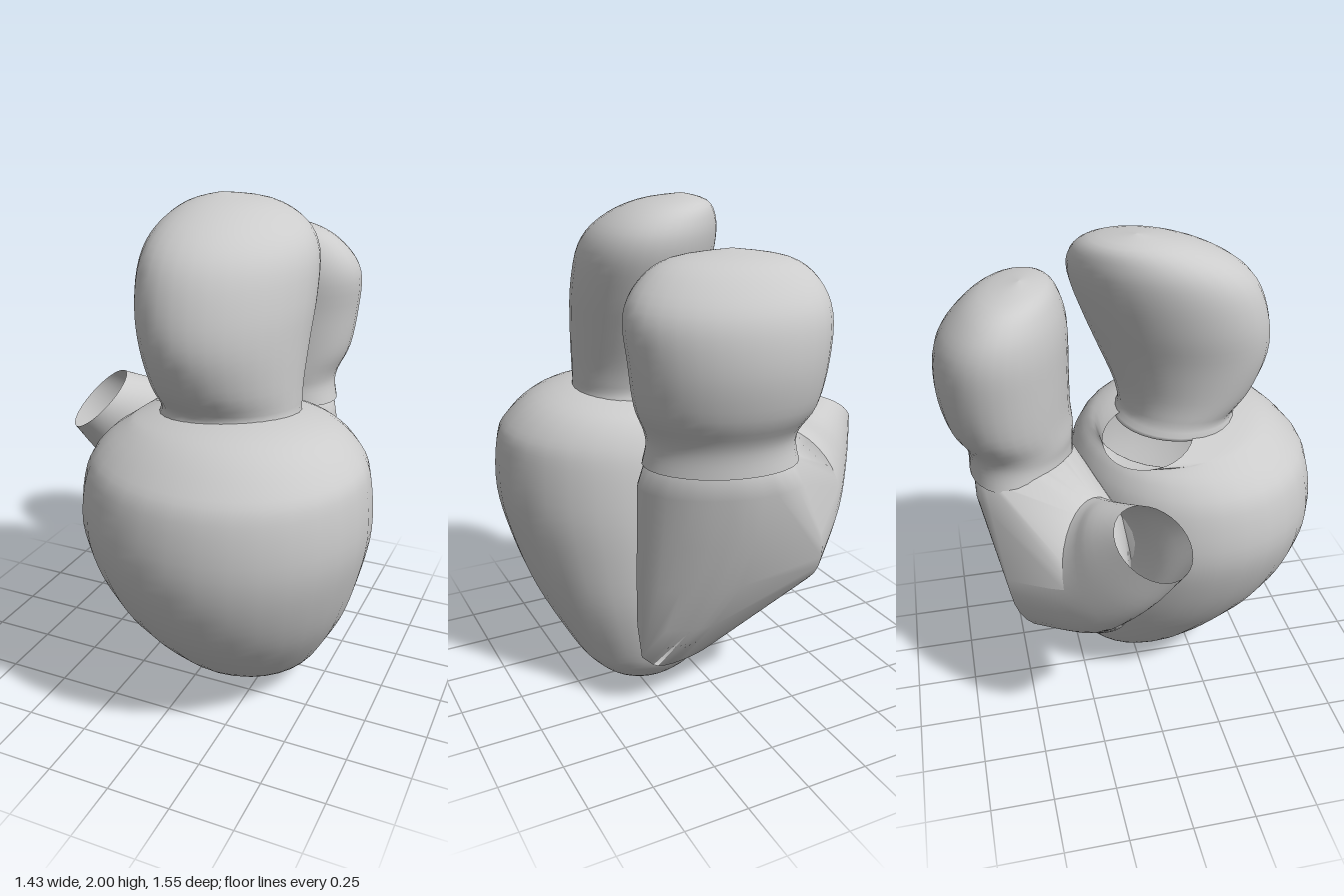
import * as THREE from 'three';
import { mergeVertices } from 'three/addons/utils/BufferGeometryUtils.js';
import { ConvexGeometry } from 'three/addons/geometries/ConvexGeometry.js';

const SEGMENTS = 32;
const STEPS = 4;

// Ring given by its extents in x and z at one height, with an optional skew of z along x
const box = (y, x0, x1, z0, z1, skew = 0) => {
  const rz = (z1 - z0) / 2;
  return [(x0 + x1) / 2, y, (z0 + z1) / 2, (x1 - x0) / 2, 0, -rz * skew, 0, 0, rz * Math.sqrt(1 - skew * skew)];
};

// Level ellipse with half axes a and b, turned about y
const oval = (y, x, z, a, b, turn = 0.32) => {
  const c = Math.cos(turn), s = Math.sin(turn);
  return [x, y, z, a * c, 0, a * s, -b * s, 0, b * c];
};

// Points round a ring of centre (3), half axis u (3) and half axis v (3)
const ringPoints = (r) => Array.from({ length: SEGMENTS }, (_, j) => {
  const a = (j / SEGMENTS) * Math.PI * 2;
  const [x, y, z] = [0, 1, 2].map((n) => r[n] + r[n + 3] * Math.cos(a) + r[n + 6] * Math.sin(a));
  return new THREE.Vector3(x, y, z);
});

// Smooth skin through a row of rings
function loft(rings) {
  const rows = [];
  const at = (i) => rings[Math.max(0, Math.min(rings.length - 1, i))];
  for (let i = 0; i < rings.length - 1; i++) {
    for (let k = 0; k < STEPS; k++) {
      const t = k / STEPS;
      rows.push(rings[i].map((p, n) => {
        const m0 = (at(i + 1)[n] - at(i - 1)[n]) / 2;
        const m1 = (at(i + 2)[n] - p) / 2;
        const d = at(i + 1)[n] - p;
        return p + m0 * t + (3 * d - 2 * m0 - m1) * t * t + (m0 + m1 - 2 * d) * t ** 3;
      }));
    }
  }
  rows.push(rings[rings.length - 1]);

  const index = [];
  for (let i = 0; i < rows.length - 1; i++) {
    for (let j = 0; j < SEGMENTS; j++) {
      const p = i * SEGMENTS + j, q = i * SEGMENTS + (j + 1) % SEGMENTS;
      index.push(p, p + SEGMENTS, q, q, p + SEGMENTS, q + SEGMENTS);
    }
  }
  const geometry = new THREE.BufferGeometry().setFromPoints(rows.flatMap(ringPoints));
  geometry.setIndex(index);
  geometry.computeVertexNormals();
  return geometry;
}

// Smooth convex skin stretched round a set of points
function hull(points) {
  const geometry = new ConvexGeometry(points);
  geometry.deleteAttribute('normal');
  const merged = mergeVertices(geometry);
  merged.computeVertexNormals();
  return merged;
}

export function createModel() {
  const group = new THREE.Group();
  group.name = 'heartChambers';
  const material = new THREE.MeshStandardMaterial({ color: 0xcccccc, side: THREE.DoubleSide });
  const add = (name, geometry) => {
    const mesh = new THREE.Mesh(geometry, material);
    mesh.name = name;
    group.add(mesh);
  };

  // Large front chamber, closing over the top down to an open outlet
  add('frontVentricle', loft([
    box(0, 0.2, 0.2, 0.01, 0.01),
    box(0.02, 0.07, 0.34, -0.12, 0.14),
    box(0.1, -0.05, 0.44, -0.22, 0.3),
    box(0.2, -0.145, 0.505, -0.27, 0.45),
    box(0.4, -0.285, 0.605, -0.3, 0.63),
    box(0.6, -0.38, 0.67, -0.3, 0.735),
    box(0.8, -0.43, 0.71, -0.285, 0.775),
    box(1.0, -0.405, 0.7, -0.25, 0.75),
    box(1.1, -0.345, 0.66, -0.21, 0.685),
    [0.14, 1.175, 0.2, 0.41, 0.02, 0, 0, 0.02, 0.37],
    [0.06, 1.2, 0.14, 0.32, 0.04, 0, 0, 0.03, 0.29],
    [-0.06, 1.2, 0.03, 0.19, 0.04, 0, 0, 0.03, 0.18],
  ]));

  // Upper front chamber: neck hollowed from below, then a skewed swelling
  add('frontAtrium', loft([
    box(1.32, 0.14, 0.14, 0.19, 0.19),
    box(1.2, -0.12, 0.39, -0.05, 0.43),
    box(1.25, -0.13, 0.4, -0.04, 0.42, 0.1),
    box(1.35, -0.14, 0.4, -0.06, 0.485, 0.2),
    box(1.5, -0.16, 0.405, -0.12, 0.535, 0.25),
    box(1.65, -0.185, 0.41, -0.18, 0.525, 0.26),
    box(1.8, -0.19, 0.395, -0.23, 0.465, 0.26),
    box(1.9, -0.165, 0.33, -0.225, 0.35, 0.25),
    box(1.97, -0.1, 0.2, -0.16, 0.18, 0.2),
    box(2.0, 0.01, 0.01, 0.0, 0.0),
  ]));

  // Root of the outflow tube, shared by the rear chamber and the tube
  const root = [
    [-0.2, 0.76, -0.38, -0.1, 0, -0.2, 0.06, 0.28, 0],
    [-0.39, 0.845, -0.24, -0.12, 0, -0.15, 0.08, 0.25, -0.02],
  ];

  // Rounded lower edge of the rear chamber, from its tip round to the tube
  const edge = new THREE.CatmullRomCurve3([
    [0.35, 0.26, -0.33], [0.28, 0.2, -0.33], [0.13, 0.195, -0.32], [0, 0.225, -0.3],
    [-0.2, 0.335, -0.23], [-0.35, 0.47, -0.16], [-0.47, 0.63, -0.13],
  ].map((p) => new THREE.Vector3(...p)));

  // Flattened rear chamber fanning out from its lower edge to the neck and tube root
  add('rearVentricle', hull([
    ...edge.getPoints(24),
    ...[
      oval(0.4, 0.2, -0.37, 0.17, 0.07),
      oval(0.6, 0.13, -0.41, 0.25, 0.12),
      oval(0.8, 0.08, -0.44, 0.3, 0.16),
      oval(1.0, 0.07, -0.455, 0.315, 0.19),
      oval(1.11, 0.08, -0.46, 0.275, 0.19),
      oval(1.16, 0.08, -0.46, 0.18, 0.12),
      ...root,
    ].flatMap(ringPoints),
  ]));

  // Open tube leading up and out
  add('outflowTube', loft([
    ...root,
    [-0.51, 0.96, -0.16, -0.08, 0.02, -0.14, 0.12, 0.17, -0.05],
    [-0.6, 1.07, -0.07, -0.06, 0.03, -0.14, 0.105, 0.1, -0.05],
  ]));

  // Upper rear chamber
  add('rearAtrium', loft([
    oval(1.09, 0.08, -0.46, 0.29, 0.205),
    oval(1.16, 0.08, -0.46, 0.275, 0.205),
    oval(1.22, 0.08, -0.465, 0.285, 0.215),
    oval(1.32, 0.08, -0.495, 0.33, 0.235),
    oval(1.48, 0.08, -0.51, 0.355, 0.25),
    oval(1.64, 0.08, -0.5, 0.365, 0.24),
    oval(1.75, 0.065, -0.475, 0.315, 0.19),
    oval(1.82, 0.05, -0.45, 0.21, 0.12),
    oval(1.85, 0.03, -0.43, 0, 0),
  ]));

  return group;
}
